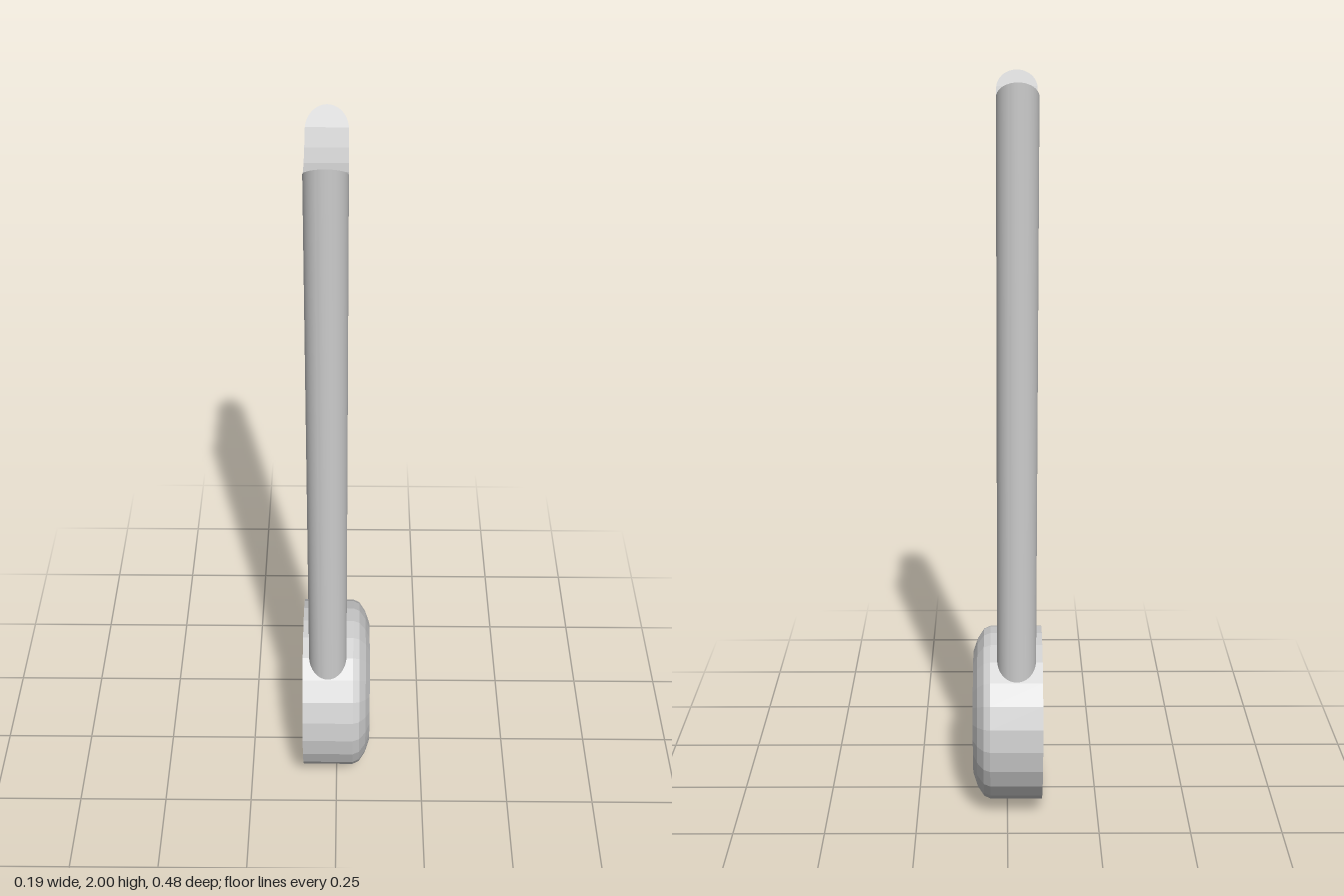
import * as THREE from 'three';
import { toCreasedNormals } from 'three/addons/utils/BufferGeometryUtils.js';

const R = 0.242, SIDES = 24, STEP = (2 * Math.PI) / SIDES;
const BAR_X = -0.025, BAR_W = 0.053, BAR_Z = 0.169;

// Height of the faceted disc rim above its axis at a given z
function rimHeight(z) {
  const k = Math.floor(Math.asin(Math.min(Math.abs(z) / R, 1)) / STEP + 1e-6);
  const a = k * STEP, b = a + STEP;
  const t = (Math.abs(z) - R * Math.sin(a)) / (R * (Math.sin(b) - Math.sin(a)));
  return R * THREE.MathUtils.lerp(Math.cos(a), Math.cos(b), t);
}

// Flat bar with rounded edges, notched at both ends to fit a disc
function barGeometry() {
  const flat = BAR_Z - BAR_W;
  const half = [];
  for (let i = 0; i <= 10; i++) {
    const a = (i / 10) * Math.PI / 2;
    half.push([flat + BAR_W * Math.sin(a), BAR_W * Math.cos(a)]);
  }
  // extra slices where the notch changes facet
  half.push([R * Math.sin(STEP), BAR_W]);
  const zf = R * Math.sin(2 * STEP);
  half.push([zf, Math.sqrt(BAR_W ** 2 - (zf - flat) ** 2)]);
  const slices = [...half, ...half.map(([z, w]) => [-z, w]), [0, BAR_W]].sort((p, q) => p[0] - q[0]);

  const topAxis = 2 + rimHeight(BAR_Z);
  const pos = [], idx = [];
  slices.forEach(([z, w], i) => {
    const top = topAxis - rimHeight(z), bot = R + rimHeight(z) - 0.004;
    pos.push(BAR_X - w, top, z, BAR_X - w, bot, z, BAR_X + w, bot, z, BAR_X + w, top, z);
    if (i === 0) return;
    for (let j = 0; j < 4; j++) {
      const k = (j + 1) % 4, p = (i - 1) * 4, q = i * 4;
      idx.push(p + j, p + k, q + k, p + j, q + k, q + j);
    }
  });
  const g = new THREE.BufferGeometry();
  g.setAttribute('position', new THREE.Float32BufferAttribute(pos, 3));
  g.setIndex(idx);
  return toCreasedNormals(g, 0.2);
}

export function createModel() {
  const group = new THREE.Group();

  // Round foot: flat on one side, rounded rim on the other
  const profile = [[0, -0.096], [R, -0.096], [R, 0.047], [0.234, 0.065], [0.207, 0.083], [0.172, 0.095], [0, 0.095]]
    .map(([r, h]) => new THREE.Vector2(r, h));
  const discGeo = new THREE.LatheGeometry(profile, SIDES);
  discGeo.rotateZ(-Math.PI / 2);
  const disc = new THREE.Mesh(discGeo, new THREE.MeshStandardMaterial({ color: 0xcccccc, flatShading: true }));
  disc.name = 'disc';
  disc.position.y = R;
  group.add(disc);

  // Upright bar
  const bar = new THREE.Mesh(barGeometry(), new THREE.MeshStandardMaterial({ color: 0xcccccc }));
  bar.name = 'bar';
  group.add(bar);

  return group;
}
